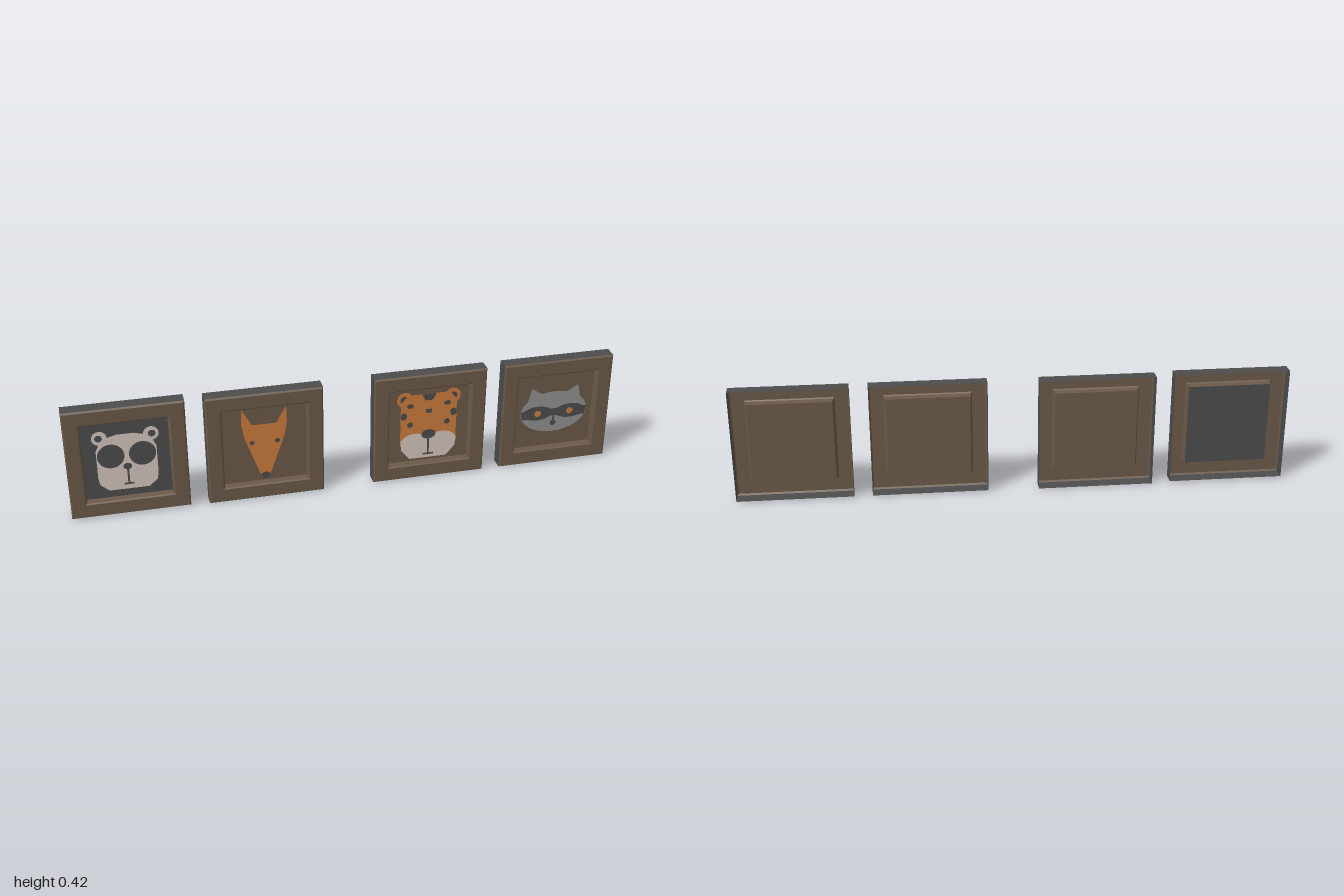
import * as THREE from 'three';

const mat = (name, color, side = THREE.DoubleSide) => {
  const m = new THREE.MeshStandardMaterial({ color, side });
  m.name = name;
  return m;
};

// Square sheet swept through rings of [half size, z]
function squareLoft(rings) {
  const corners = [[-1, -1], [1, -1], [1, 1], [-1, 1]];
  const pos = [];
  for (let i = 0; i + 1 < rings.length; i++) {
    for (let k = 0; k < 4; k++) {
      const p = (r, c) => [corners[c % 4][0] * r[0], corners[c % 4][1] * r[0], r[1]];
      const a = p(rings[i], k), b = p(rings[i], k + 1);
      const c = p(rings[i + 1], k + 1), d = p(rings[i + 1], k);
      pos.push(...a, ...b, ...c, ...a, ...c, ...d);
    }
  }
  const g = new THREE.BufferGeometry();
  g.setAttribute('position', new THREE.Float32BufferAttribute(pos, 3));
  g.computeVertexNormals();
  return g;
}

// Artwork outlines, in hundredths of a unit from the panel centre
const poly = (...pts) => new THREE.Shape(pts.map(([x, y]) => new THREE.Vector2(x, y)));
const oval = (x, y, rx, ry = rx) => {
  const s = new THREE.Shape();
  s.absellipse(x, y, rx, ry, 0, Math.PI * 2);
  return s;
};
const bar = (x, y, w, h) =>
  poly([x - w / 2, y - h / 2], [x + w / 2, y - h / 2], [x + w / 2, y + h / 2], [x - w / 2, y + h / 2]);
const pair = (make) => [make(-1), make(1)];

export function createModel() {
  const brown = mat('brown wood', 0x6a5847);
  const dark = mat('charcoal', 0x4c4c4c);
  const orange = mat('orange', 0xcb7b3c);
  const cream = mat('cream', 0xd4c6bc);
  const grey = mat('grey', 0x909090);
  const PANEL_Z = 0.003;

  // Each layer: [name, material, shapes], painted back to front
  const panda = [
    ['ears', cream, pair((s) => oval(s * 8.9, 8.8, 2.7))],
    ['earCentres', dark, pair((s) => oval(s * 9.2, 8.8, 1.3))],
    ['face', cream, [poly([-10.5, -7], [-10, -9.6], [-7, -12.2], [7, -12.2], [10, -9.6], [10.5, -7],
      [10.5, 4], [9, 7], [6, 9], [3, 9.8], [-3, 9.8], [-6, 9], [-9, 7], [-10.5, 4])]],
    ['eyePatches', dark, pair((s) => oval(s * 5.5, 1.5, 4.7))],
    ['noseAndMouth', dark, [oval(0, -3, 1.5, 1.3), bar(0, -6.5, 0.7, 7), bar(0, -10, 3.6, 0.7)]],
  ];

  const fox = [
    ['face', orange, [poly([-8, 14.2], [-4.3, 7.8], [4.3, 7.8], [8, 14.2], [8.2, 8], [7.2, 2.6],
      [1.8, -12.6], [-1.8, -12.6], [-7.2, 2.6], [-8.2, 8])]],
    ['eyes', dark, pair((s) => oval(s * 4.6, 0.7, 0.9))],
    ['nose', dark, [oval(0, -13, 1.6, 1.4)]],
  ];

  const tiger = [
    ['ears', orange, pair((s) => oval(s * 9, 10.6, 3))],
    ['earCentres', dark, pair((s) => oval(s * 9.2, 10.6, 1.5))],
    ['face', orange, [poly([-10.6, -8], [10.6, -8], [10.6, 9], [8, 12.4], [-8, 12.4], [-10.6, 9])]],
    ['stripes', dark, [
      poly([-2.8, 12.4], [-1.4, 9.8], [1.4, 9.8], [2.8, 12.4]), bar(0, 5.4, 2.2, 1.6),
      ...pair((s) => oval(s * 7, 8, 1.3, 0.9)), ...pair((s) => oval(s * 9.4, 4, 1.2, 1.5))]],
    ['eyes', dark, pair((s) => oval(s * 7, 0.4, 1.1))],
    ['muzzle', cream, [
      ...pair((s) => oval(s * 5.2, -7.2, 5.4, 3.8)),
      poly([-10.6, -6], [-10.2, -10], [-7, -13.8], [7, -13.8], [10.2, -10], [10.6, -6])]],
    ['noseAndMouth', dark, [oval(0, -4, 2.7, 1.9), bar(0, -8.8, 0.7, 7), bar(0, -12.2, 4, 0.7)]],
  ];

  const raccoon = [
    ['ears', grey, pair((s) => poly([s * 9, 9.4], [s * 10.8, 2], [s * 4.5, 6.5]))],
    ['face', grey, [oval(0, -0.9, 13, 8.4)]],
    ['mask', dark, [
      ...pair((s) => oval(s * 6.4, -1.1, 5.8, 2.9)),
      poly([-4, 1.2], [-1, 0.4], [1, 0.4], [4, 1.2], [4, -3.4], [0, -2.4], [-4, -3.4]),
      ...pair((s) => poly([s * 8, 1.2], [s * 13, 0], [s * 12.4, -3.2], [s * 8, -3.6]))]],
    ['eyes', orange, pair((s) => oval(s * 6.3, -1.2, 1.3))],
    ['nose', dark, [oval(0, -5.5, 1.2, 1.1), bar(0, -3.6, 0.7, 3)]],
  ];

  // Hollow frame: dark outer wall, bevelled front and recess
  const wallGeo = squareLoft([[0.21, -0.027], [0.21, 0.022]]);
  const faceGeo = squareLoft([[0.21, 0.022], [0.205, 0.028], [0.158, 0.028], [0.154, 0.024], [0.15, PANEL_Z]]);
  const panelGeo = new THREE.PlaneGeometry(0.3, 0.3);

  const model = new THREE.Group();
  model.name = 'animalPictures';

  const addPicture = (name, x, y, panelMaterial, layers) => {
    const g = new THREE.Group();
    g.name = name;
    const add = (part, geo, material, z = 0) => {
      const m = new THREE.Mesh(geo, material);
      m.name = part;
      m.position.z = z;
      g.add(m);
      return m;
    };
    add('frameWall', wallGeo, dark);
    add('frameFront', faceGeo, brown);
    add('panel', panelGeo, panelMaterial, PANEL_Z);
    layers.forEach(([part, material, shapes], i) => {
      const m = add(part, new THREE.ShapeGeometry(shapes, 16), material, PANEL_Z + 0.001 * (i + 1));
      m.scale.set(0.01, 0.01, 1);
    });
    g.position.set(x, y, 0);
    model.add(g);
  };

  addPicture('pandaPicture', -0.79, 0.217, dark, panda);
  addPicture('foxPicture', -0.303, 0.212, brown, fox);
  addPicture('tigerPicture', 0.303, 0.215, brown, tiger);
  addPicture('raccoonPicture', 0.79, 0.215, brown, raccoon);
  return model;
}
